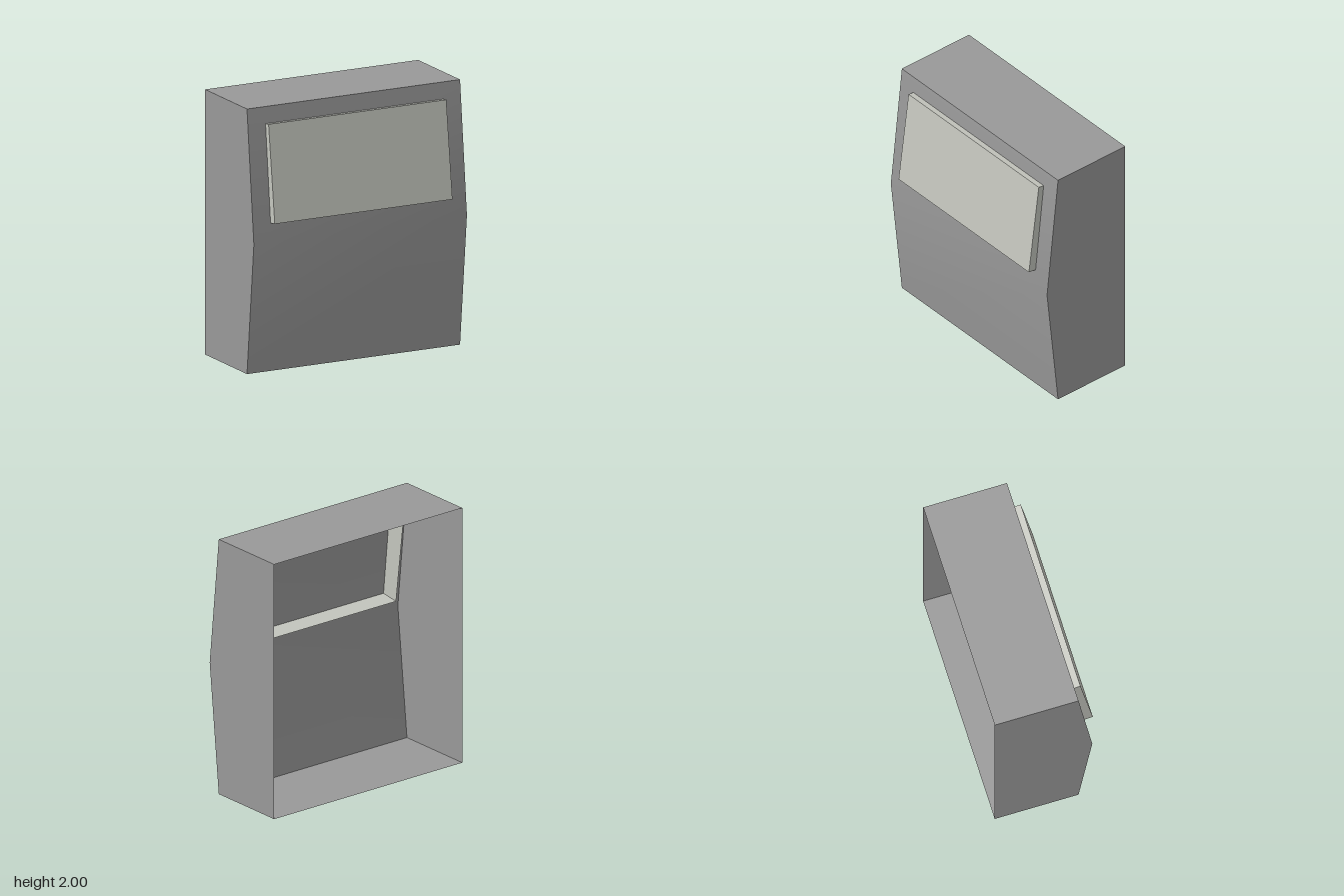
import * as THREE from 'three';

const HALF_W = 0.885, BACK = -0.395, RIM = 0.245, FOLD = 0.35, HEIGHT = 2;

export function createModel() {
  const model = new THREE.Group();
  const casingGrey = new THREE.MeshStandardMaterial({ color: 0x999999, side: THREE.DoubleSide });
  const panelGrey = new THREE.MeshStandardMaterial({ color: 0xc4c6be, side: THREE.DoubleSide });

  const add = (name, geometry, material) => {
    const mesh = new THREE.Mesh(geometry, material);
    mesh.name = name;
    model.add(mesh);
    return mesh;
  };

  // Front wall, softly folded outward at mid height
  const front = new THREE.PlaneGeometry(HALF_W * 2, HEIGHT, 1, 2);
  const pos = front.attributes.position;
  for (let i = 0; i < pos.count; i++) {
    pos.setZ(i, FOLD - (FOLD - RIM) * Math.abs(pos.getY(i)));
  }
  front.translate(0, HEIGHT / 2, 0);
  front.computeVertexNormals();
  add('frontWall', front, casingGrey);

  // Side walls with the folded profile
  for (const side of [1, -1]) {
    const profile = [[BACK, 0], [RIM, 0], [FOLD, HEIGHT / 2], [RIM, HEIGHT], [BACK, HEIGHT]];
    const shape = new THREE.Shape(profile.map(([z, y]) => new THREE.Vector2(-side * z, y)));
    const wall = new THREE.ShapeGeometry(shape);
    wall.rotateY(side * Math.PI / 2);
    wall.translate(side * HALF_W, 0, 0);
    add(side > 0 ? 'leftWall' : 'rightWall', wall, casingGrey);
  }

  // Top and bottom plates; the back stays open
  for (const up of [1, -1]) {
    const plate = new THREE.PlaneGeometry(HALF_W * 2, RIM - BACK);
    plate.rotateX(-up * Math.PI / 2);
    plate.translate(0, up > 0 ? HEIGHT : 0, (RIM + BACK) / 2);
    add(up > 0 ? 'topPlate' : 'bottomPlate', plate, casingGrey);
  }

  // Tilted display tray pushed through the front wall, open at its back
  const depth = 0.21;
  const tray = new THREE.BoxGeometry(1.476, 0.736, depth);
  tray.setIndex(Array.from(tray.index.array).slice(0, 30)); // drop the back face
  tray.clearGroups();
  tray.translate(0, 0, -depth / 2);
  const panel = add('displayPanel', tray, panelGrey);
  panel.position.set(0, 1.515, 0.352);
  panel.rotation.x = -0.129;

  return model;
}
